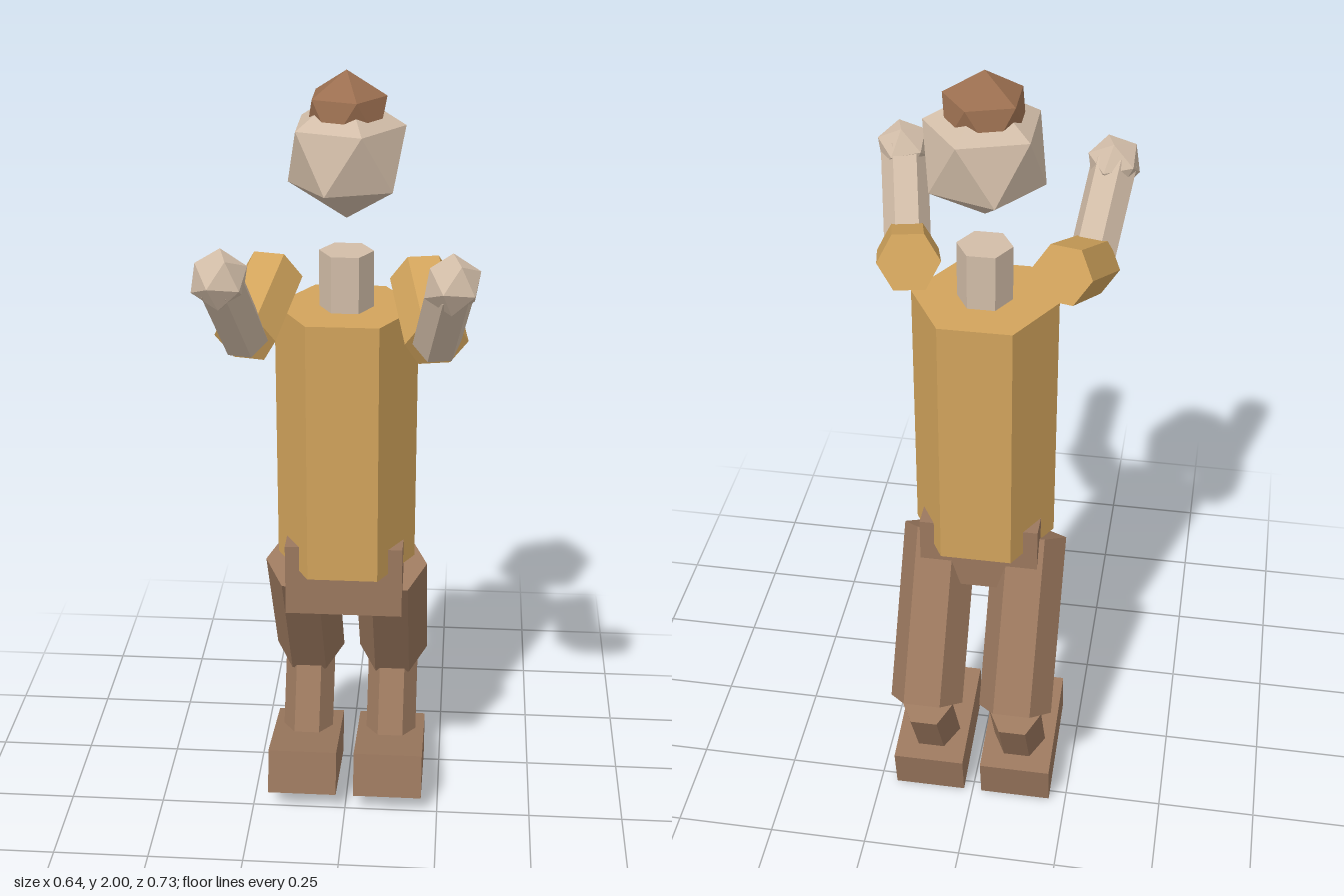
import * as THREE from 'three';

const flat = (name, color) => {
  const m = new THREE.MeshStandardMaterial({ color, flatShading: true });
  m.name = name;
  return m;
};

export function createModel() {
  const tan = flat('tan shirt', 0xd2a45c);
  const brown = flat('brown trousers', 0x9b785e);
  const hairBrown = flat('hair brown', 0x9b6f50);
  const skin = flat('skin', 0xd2bda8);

  const model = new THREE.Group();
  model.name = 'figure';

  const add = (name, geometry, material, parent = model) => {
    const mesh = new THREE.Mesh(geometry, material);
    mesh.name = name;
    parent.add(mesh);
    return mesh;
  };

  // Six-sided prism between two points, with corners pointing sideways
  const prism = (name, from, to, radius, material, parent) => {
    const a = new THREE.Vector3(...from), b = new THREE.Vector3(...to);
    const dir = b.clone().sub(a);
    const length = dir.length();
    dir.normalize();
    const side = new THREE.Vector3(dir.z, 0, -dir.x);
    if (side.lengthSq() < 1e-6) side.set(1, 0, 0);
    side.normalize();
    const geometry = new THREE.CylinderGeometry(radius, radius, length, 6).rotateY(Math.PI / 2);
    geometry.applyMatrix4(new THREE.Matrix4().makeBasis(side, dir, side.clone().cross(dir)));
    const mesh = add(name, geometry, material, parent);
    mesh.position.copy(a).add(b).multiplyScalar(0.5);
    return mesh;
  };

  // Icosahedron standing on one corner, an upper corner towards +x
  const ball = (name, radius, position, material, parent) => {
    const geometry = new THREE.IcosahedronGeometry(radius, 0).rotateZ(-0.5536);
    const mesh = add(name, geometry, material, parent);
    mesh.position.set(...position);
    return mesh;
  };

  const bodyZ = -0.058;

  // Trunk and head
  prism('torso', [0, 0.757, bodyZ], [0, 1.43, bodyZ], 0.175, tan);
  prism('neck', [0, 1.40, bodyZ], [0, 1.57, bodyZ], 0.066, skin);
  ball('head', 0.155, [0, 1.805, bodyZ], skin);
  ball('hair', 0.105, [0, 1.895, bodyZ], hairBrown);
  add('pelvis', new THREE.BoxGeometry(0.296, 0.19, 0.218), brown).position.set(0, 0.73, bodyZ);

  // Arms and legs, mirrored left and right
  for (const s of [1, -1]) {
    const label = s > 0 ? 'left' : 'right';

    const arm = new THREE.Group();
    arm.name = label + 'Arm';
    model.add(arm);
    const elbow = [s * 0.223, 1.418, 0.146];
    const wrist = [s * 0.257, 1.613, 0.3];
    prism('upperArm', [s * 0.178, 1.507, -0.06], elbow, 0.075, tan, arm);
    prism('forearm', elbow, wrist, 0.057, skin, arm);
    const hand = ball('hand', 0.069, wrist, skin, arm);
    hand.rotation.x = -0.45;

    const leg = new THREE.Group();
    leg.name = label + 'Leg';
    model.add(leg);
    const x = s * 0.115;
    prism('thigh', [x, 0.732, bodyZ], [x, 0.345, -0.297], 0.093, brown, leg);
    prism('shin', [x, 0.335, -0.297], [x, 0.11, -0.177], 0.068, brown, leg);
    const foot = add('foot', new THREE.BoxGeometry(0.183, 0.122, 0.308), brown, leg);
    foot.position.set(x, 0.091, -0.138);
    foot.rotation.x = -0.19;
  }

  return model;
}
